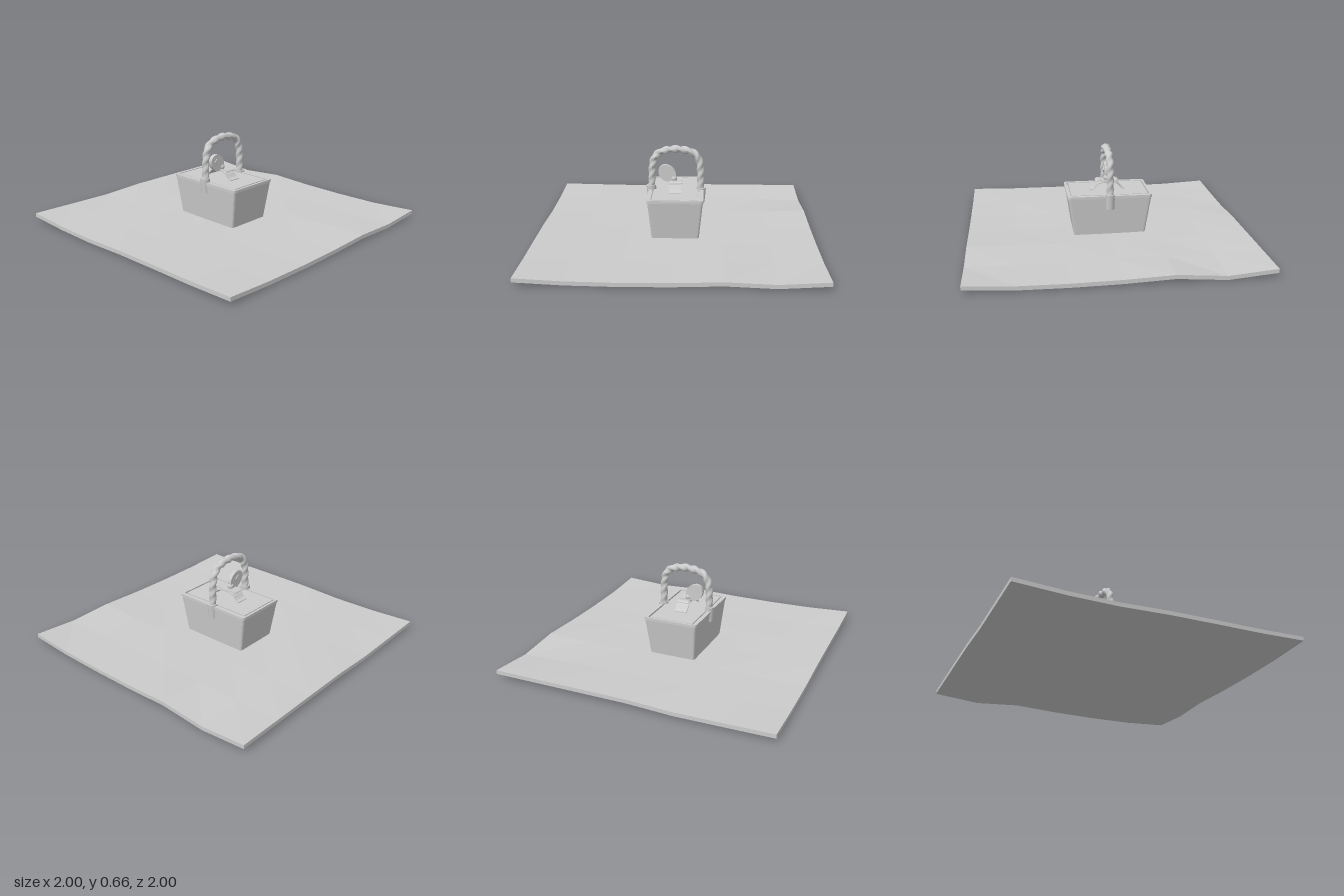
import * as THREE from 'three';

const grey = (opts = {}) => new THREE.MeshStandardMaterial({ color: 0xcccccc, ...opts });

function add(parent, name, geometry, material, pos = [0, 0, 0], rot = [0, 0, 0]) {
  const mesh = new THREE.Mesh(geometry, material);
  mesh.name = name;
  mesh.position.set(...pos);
  mesh.rotation.set(...rot);
  parent.add(mesh);
  return mesh;
}

// Heights of the blanket's top, rows from back to front, columns from -x to +x
const HEIGHTS = [
  [0.055, 0.050, 0.046, 0.060, 0.060, 0.060, 0.060],
  [0.038, 0.040, 0.045, 0.048, 0.045, 0.038, 0.030],
  [0.034, 0.036, 0.042, 0.040, 0.040, 0.045, 0.056],
  [0.045, 0.040, 0.035, 0.034, 0.036, 0.040, 0.041],
  [0.047, 0.040, 0.034, 0.034, 0.038, 0.034, 0.035],
  [0.047, 0.038, 0.030, 0.032, 0.042, 0.034, 0.037],
  [0.055, 0.039, 0.034, 0.037, 0.048, 0.035, 0.056],
];

function blanketGeometry() {
  const geo = new THREE.BoxGeometry(2, 0.028, 2, 6, 1, 6);
  const p = geo.attributes.position;
  for (let i = 0; i < p.count; i++) {
    const col = Math.round((p.getX(i) + 1) * 3), row = Math.round((p.getZ(i) + 1) * 3);
    const top = HEIGHTS[row][col];
    p.setY(i, p.getY(i) > 0 ? top : Math.max(0, top - 0.028));
  }
  geo.computeVertexNormals();
  return geo;
}

function roundedRect(w, d, r, Type = THREE.Shape) {
  const s = new Type(), x = w / 2, y = d / 2;
  s.moveTo(-x + r, -y);
  s.lineTo(x - r, -y).quadraticCurveTo(x, -y, x, -y + r);
  s.lineTo(x, y - r).quadraticCurveTo(x, y, x - r, y);
  s.lineTo(-x + r, y).quadraticCurveTo(-x, y, -x, y - r);
  s.lineTo(-x, -y + r).quadraticCurveTo(-x, -y, -x + r, -y);
  return s;
}

// Upright prism; its foot is scaled by sx, sz
function prism(shape, height, sx = 1, sz = 1) {
  const geo = new THREE.ExtrudeGeometry(shape, { depth: height, bevelEnabled: false, curveSegments: 4 });
  geo.rotateX(-Math.PI / 2);
  const p = geo.attributes.position;
  for (let i = 0; i < p.count; i++) {
    if (p.getY(i) < height / 2) p.setXYZ(i, p.getX(i) * sx, p.getY(i), p.getZ(i) * sz);
  }
  geo.computeVertexNormals();
  return geo;
}

// Two-strand twist, strongest over the top of the arch
function ropeGeometry(curve, radius, twists) {
  const geo = new THREE.TubeGeometry(curve, 150, radius, 14, false);
  const p = geo.attributes.position, uv = geo.attributes.uv;
  const v = new THREE.Vector3(), c = new THREE.Vector3();
  for (let i = 0; i < p.count; i++) {
    const u = uv.getX(i), a = uv.getY(i) * Math.PI * 2;
    const amp = 0.05 + 0.13 * Math.sin(Math.PI * u);
    curve.getPointAt(u, c);
    v.fromBufferAttribute(p, i).sub(c);
    v.multiplyScalar(1 + amp * Math.cos(2 * a + u * twists * Math.PI * 2)).add(c);
    p.setXYZ(i, v.x, v.y, v.z);
  }
  geo.computeVertexNormals();
  return geo;
}

// Thin band following [z, y] points, extruded across x
function bandGeometry(points, width, thickness) {
  const pts = new THREE.SplineCurve(points.map(([z, y]) => new THREE.Vector2(-z, y))).getPoints(24);
  const shape = new THREE.Shape([
    ...pts, ...pts.slice().reverse().map(q => new THREE.Vector2(q.x, q.y - thickness)),
  ]);
  const geo = new THREE.ExtrudeGeometry(shape, { depth: width, bevelEnabled: false });
  geo.translate(0, 0, -width / 2);
  return geo.rotateY(Math.PI / 2);
}

export function createModel() {
  const model = new THREE.Group();
  model.name = 'picnicBasketOnBlanket';
  add(model, 'blanket', blanketGeometry(), grey({ flatShading: true }));

  const basket = new THREE.Group();
  basket.name = 'basket';
  basket.position.z = -0.022;
  model.add(basket);

  // Tapered body, rim and inset lid
  add(basket, 'body', prism(roundedRect(0.395, 0.6, 0.02), 0.29, 0.86, 0.86), grey(), [0, 0.022, 0]);
  const rim = roundedRect(0.405, 0.61, 0.025);
  rim.holes.push(roundedRect(0.345, 0.575, 0.008, THREE.Path));
  add(basket, 'rim', prism(rim, 0.02), grey(), [0, 0.31, 0]);
  add(basket, 'lid', new THREE.BoxGeometry(0.325, 0.03, 0.555), grey(), [-0.002, 0.314, -0.002]);

  // Sockets on both sides
  for (const [name, side, y] of [['leftSocket', 1, 0.285], ['rightSocket', -1, 0.303]]) {
    add(basket, name, new THREE.CylinderGeometry(0.036, 0.032, 0.11, 16), grey(),
      [side * 0.182, y, 0], [0, 0, -side * 0.05]);
  }

  // Rope handle
  const half = [[0.183, 0.3], [0.18, 0.4], [0.176, 0.5], [0.158, 0.57], [0.115, 0.61], [0.06, 0.625]];
  const arch = [...half.map(([x, y]) => [-x, y]), [0, 0.632], ...half.slice().reverse()];
  const curve = new THREE.CatmullRomCurve3(arch.map(([x, y]) => new THREE.Vector3(x, y, 0)));
  add(basket, 'handle', ropeGeometry(curve, 0.025, 13), grey());

  // Ribbon draped across the lid, with a shorter fold on top
  const ribbon = [[0.125, 0.334], [0.1, 0.345], [0.07, 0.378], [0.03, 0.388], [0, 0.39]];
  const ends = ribbon.slice(0, -1).reverse().map(([z, y]) => [-z, y]);
  add(basket, 'ribbon', bandGeometry([...ribbon, ...ends], 0.092, 0.006), grey(), [-0.004, 0, 0]);
  add(basket, 'ribbonFold',
    bandGeometry([[0.085, 0.392], [0.065, 0.402], [0.03, 0.397], [0, 0.392], [-0.03, 0.397], [-0.065, 0.402], [-0.085, 0.392]],
      0.09, 0.005), grey(), [-0.004, 0, 0]);

  // Round tag standing on its knot, with a square stud
  const tag = new THREE.Group();
  tag.name = 'tag';
  tag.position.set(-0.066, 0.448, 0);
  tag.rotation.z = -0.75;
  basket.add(tag);
  const disc = new THREE.CylinderGeometry(0.066, 0.066, 0.028, 24).rotateX(Math.PI / 2);
  disc.scale(1.08, 0.88, 1);
  add(tag, 'tagDisc', disc, grey());
  add(tag, 'tagStud', new THREE.BoxGeometry(0.04, 0.028, 0.04), grey(), [-0.014, 0, 0]);
  add(basket, 'knot', new THREE.SphereGeometry(0.024, 14, 10), grey(), [-0.016, 0.408, 0]);

  return model;
}
